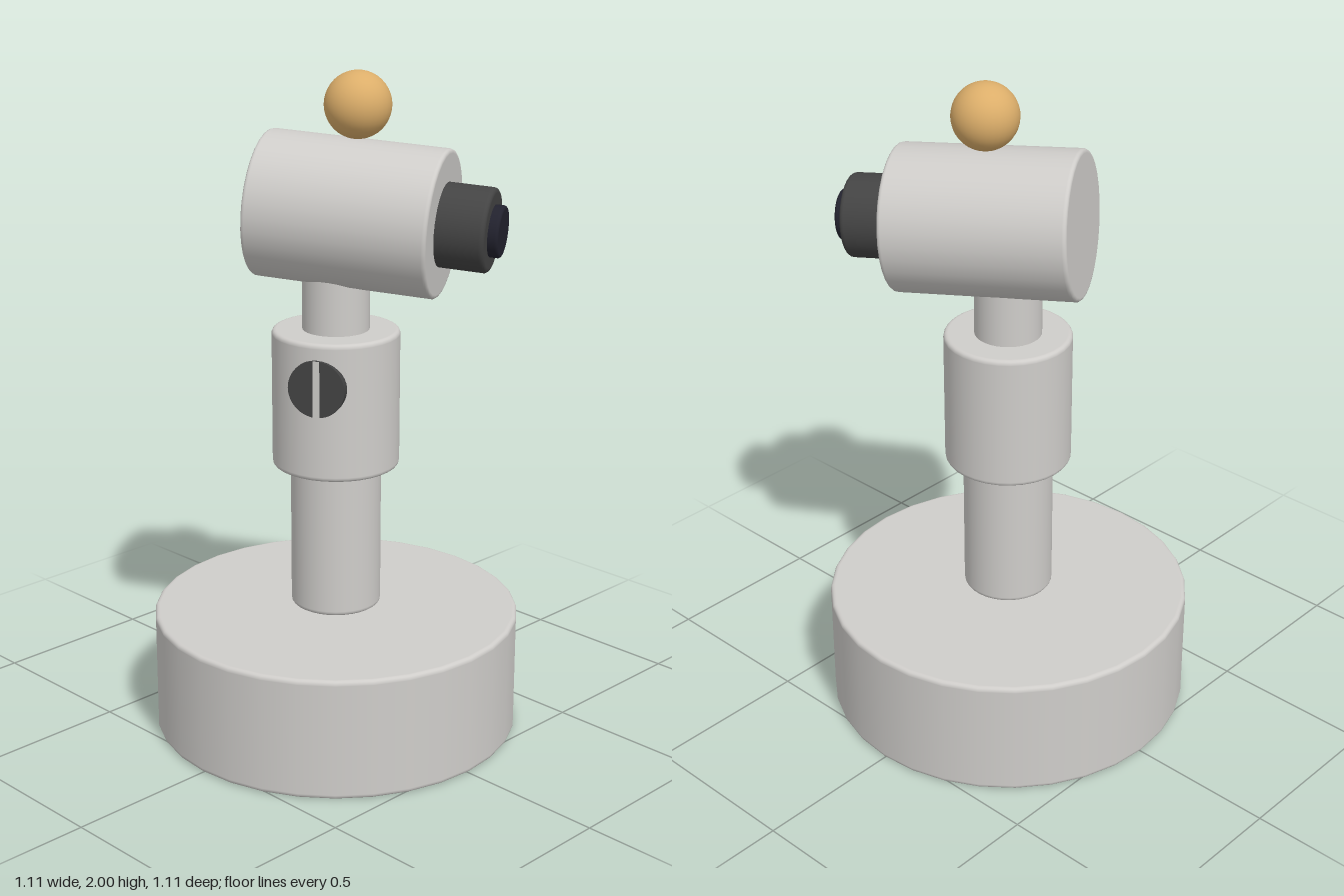
import * as THREE from 'three';

const mat = (name, color) => {
  const m = new THREE.MeshStandardMaterial({ color });
  m.name = name;
  return m;
};

// Closed cylinder along y from y0 to y1 with small rounded rims
function roundedCylinder(radius, y0, y1, bevel = 0.012, segments = 32) {
  const pts = [new THREE.Vector2(0, y0), new THREE.Vector2(radius - bevel - 0.002, y0)];
  const arc = (cy, from) => {
    for (let i = 0; i <= 4; i++) {
      const a = from + (i / 4) * Math.PI / 2;
      pts.push(new THREE.Vector2(radius - bevel + bevel * Math.cos(a), cy + bevel * Math.sin(a)));
    }
  };
  arc(y0 + bevel, -Math.PI / 2);
  pts.push(new THREE.Vector2(radius, y0 + bevel + 0.002), new THREE.Vector2(radius, y1 - bevel - 0.002));
  arc(y1 - bevel, 0);
  pts.push(new THREE.Vector2(radius - bevel - 0.002, y1), new THREE.Vector2(0, y1));
  return new THREE.LatheGeometry(pts, segments);
}

export function createModel() {
  const shell = mat('light grey shell', 0xcfcdca);
  const dark = mat('dark grey rubber', 0x444444);
  const glass = mat('navy glass', 0x22222e);
  const amber = mat('amber', 0xdcae6a);

  const model = new THREE.Group();
  model.name = 'swivelCamera';
  const add = (parent, name, geometry, material) => {
    const mesh = new THREE.Mesh(geometry, material);
    mesh.name = name;
    parent.add(mesh);
    return mesh;
  };

  // Upright stand
  add(model, 'base', roundedCylinder(0.553, 0, 0.37), shell);
  add(model, 'pivotPin', new THREE.CylinderGeometry(0.042, 0.042, 0.08, 24).translate(0, 0.38, 0), dark);
  add(model, 'post', roundedCylinder(0.135, 0.385, 0.86), shell);
  add(model, 'collar', roundedCylinder(0.189, 0.83, 1.245), shell);
  add(model, 'neck', roundedCylinder(0.099, 1.2, 1.5, 0.006), shell);

  // Everything above the base is turned by the same angle
  const turn = THREE.MathUtils.degToRad(28.2);

  // Round knob with a light slot, set into the collar
  const knob = new THREE.Group();
  knob.name = 'knob';
  knob.position.y = 1.113;
  knob.rotation.y = turn;
  model.add(knob);
  const disc = new THREE.CylinderGeometry(0.085, 0.085, 0.06, 32).rotateX(Math.PI / 2);
  add(knob, 'knobDisc', disc.translate(0, 0, 0.166), dark);
  add(knob, 'knobSlot', new THREE.BoxGeometry(0.02, 0.168, 0.008).translate(0, 0, 0.194), shell);

  // Tilted head, its axis along local x
  const head = new THREE.Group();
  head.name = 'head';
  head.position.set(0.043, 1.59, -0.027);
  head.rotation.set(0, turn, THREE.MathUtils.degToRad(-3.5));
  model.add(head);
  const along = (r, x0, x1, bevel) => roundedCylinder(r, x0, x1, bevel).rotateZ(-Math.PI / 2);
  add(head, 'headShell', along(0.215, -0.27, 0.27, 0.01), shell);
  add(head, 'lensBarrel', along(0.122, 0.2, 0.412, 0.012), dark);
  add(head, 'lens', along(0.075, 0.38, 0.442, 0.008), glass);

  // Ball on top of the head
  add(model, 'topBall', new THREE.SphereGeometry(0.097, 32, 20), amber).position.set(0.056, 1.903, -0.032);

  return model;
}
